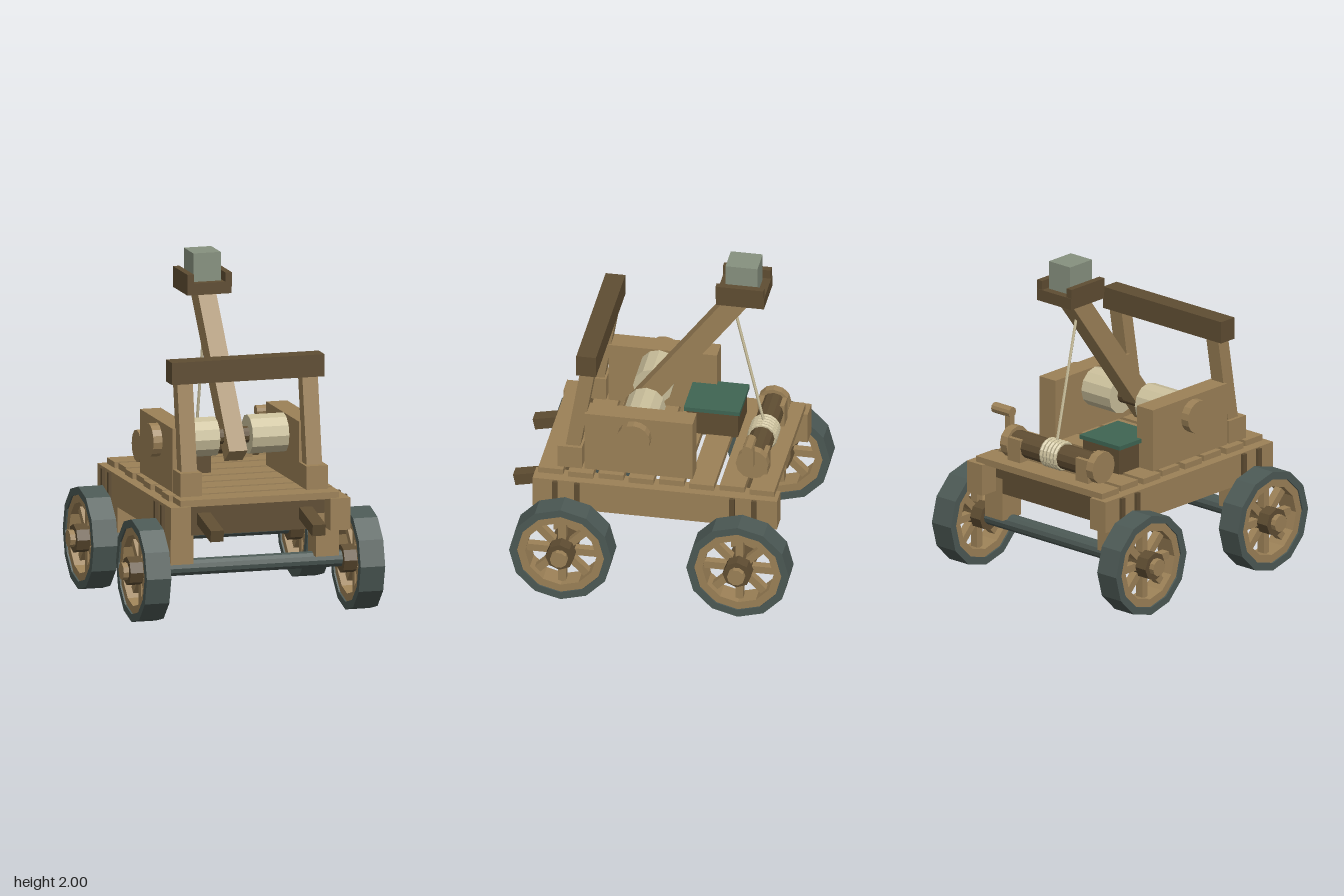
import * as THREE from 'three';

const mat = (name, color) => {
  const m = new THREE.MeshStandardMaterial({ color, flatShading: true });
  m.name = name;
  return m;
};

export function createModel() {
  const wood = mat('wood', 0x9c8157);
  const dark = mat('dark wood', 0x5f4d32);
  const iron = mat('iron', 0x4c5955);
  const rope = mat('rope', 0xcabf9b);
  const stone = mat('stone', 0x87917f);
  const cloth = mat('green lid', 0x3f6553);
  const root = new THREE.Group();
  root.name = 'siegeCatapult';

  const add = (name, geo, m, x, y, z, parent = root) => {
    const mesh = new THREE.Mesh(geo, m);
    mesh.name = name;
    mesh.position.set(x, y, z);
    parent.add(mesh);
    return mesh;
  };
  // Box given by its limits on each axis
  const box = (name, m, x0, x1, y0, y1, z0, z1, parent) =>
    add(name, new THREE.BoxGeometry(x1 - x0, y1 - y0, z1 - z0), m,
      (x0 + x1) / 2, (y0 + y1) / 2, (z0 + z1) / 2, parent);
  // Cylinder lying along x
  const rod = (name, m, x0, x1, y, z, r, sides = 12, parent) =>
    add(name, new THREE.CylinderGeometry(r, r, x1 - x0, sides).rotateZ(Math.PI / 2), m,
      (x0 + x1) / 2, y, z, parent);
  // Twelve-sided ring, centred, with its axis along x
  const ring = (outer, inner, width) => {
    const pts = r => Array.from({ length: 12 }, (_, i) =>
      new THREE.Vector2(r * Math.cos(i * Math.PI / 6), r * Math.sin(i * Math.PI / 6)));
    const shape = new THREE.Shape(pts(outer));
    shape.holes.push(new THREE.Path(pts(inner).reverse()));
    return new THREE.ExtrudeGeometry(shape, { depth: width, bevelEnabled: false })
      .translate(0, 0, -width / 2).rotateY(Math.PI / 2);
  };

  // Wheels, axles and their mounts
  for (const z of [0.5, -0.555]) {
    rod('axle', iron, -0.58, 0.58, 0.31, z, 0.05);
    box('crossBeam', dark, -0.43, 0.43, 0.51, 0.699, z - 0.08, z + 0.08);
    for (const s of [-1, 1]) {
      const wheel = new THREE.Group();
      wheel.name = 'wheel';
      wheel.position.set(s * 0.655, 0.306, z);
      root.add(wheel);
      add('tyre', ring(0.306, 0.26, 0.15), iron, 0, 0, 0, wheel);
      add('rim', ring(0.262, 0.212, 0.13), wood, 0, 0, 0, wheel);
      for (let i = 0; i < 4; i++) {
        add('spokePair', new THREE.BoxGeometry(0.05, 0.45, 0.045), wood, 0, 0, 0, wheel)
          .rotation.x = i * Math.PI / 4;
      }
      rod('hub', dark, -0.105, 0.105, 0, 0, 0.085, 8, wheel);
      rod('hubCap', wood, Math.min(0, s * 0.138), Math.max(0, s * 0.138), 0, 0, 0.052, 10, wheel);

      box('axleMount', wood, s * 0.445 - 0.07, s * 0.445 + 0.07, 0.34, 0.6, z - 0.08, z + 0.08);
      for (const d of [-0.065, 0.065]) {
        box('beamStrap', dark, s * 0.558 - 0.012, s * 0.558 + 0.012, 0.51, 0.7,
          z + d - 0.015, z + d + 0.015);
      }
    }
  }

  // Deck planks
  for (let i = 0; i < 8; i++) {
    const z = -0.73 + i * 0.18;
    const w = i % 2 ? 0.485 : 0.5;
    box('deckPlank', wood, -w, w, 0.7, 0.74, z, z + 0.148);
  }

  // Parts mirrored on both sides
  for (const s of [-1, 1]) {
    const sideBox = (name, m, a, b, ...rest) =>
      box(name, m, Math.min(s * a, s * b), Math.max(s * a, s * b), ...rest);
    const sideRod = (name, m, a, b, ...rest) =>
      rod(name, m, Math.min(s * a, s * b), Math.max(s * a, s * b), ...rest);

    sideBox('sideBeam', wood, 0.428, 0.55, 0.515, 0.705, -0.755, 0.7);
    sideBox('sidePanel', wood, 0.323, 0.45, 0.74, 1.118, -0.235, 0.41);
    sideBox('postSocket', wood, 0.32, 0.452, 0.74, 0.88, 0.425, 0.57);
    add('stopPost', new THREE.BoxGeometry(0.095, 0.62, 0.085), wood, s * 0.383, 1.11, 0.443)
      .rotation.x = -0.165;
    add('towBar', new THREE.BoxGeometry(0.08, 0.07, 0.36), dark, s * 0.312, 0.588, 0.67)
      .rotation.x = 0.21;

    // Torsion skein and pivot boss
    sideRod('ropeSkein', rope, 0.1, 0.325, 1.0, 0.107, 0.117, 12);
    sideRod('pivotBoss', wood, 0.44, 0.505, 1.0, 0.11, 0.1, 16);

    // Winch bearings
    sideBox('winchBlock', wood, 0.22, 0.32, 0.74, 0.88, -0.655, -0.495);
    sideRod('winchFlange', wood, 0.315, 0.367, 0.83, -0.572, 0.097, 12);
  }
  box('stopCrossbar', dark, -0.467, 0.467, 1.388, 1.52, 0.338, 0.455);
  rod('pivotShaft', dark, -0.15, 0.15, 1.0, 0.11, 0.05);

  // Throwing arm, leaning backwards
  const foot = new THREE.Vector3(0, 0.895, 0.208);
  const tip = new THREE.Vector3(0, 1.775, -0.453);
  const mid = foot.clone().lerp(tip, 0.5);
  add('throwingArm', new THREE.BoxGeometry(0.112, foot.distanceTo(tip), 0.124), wood,
    0, mid.y, mid.z).rotation.x = Math.atan2(tip.z - foot.z, tip.y - foot.y);

  // Cup and its load
  box('cupFloor', dark, -0.135, 0.135, 1.76, 1.83, -0.6, -0.315);
  for (const s of [-1, 1]) {
    box('cupWall', dark, s * 0.117 - 0.02, s * 0.117 + 0.02, 1.8, 1.885, -0.597, -0.312);
  }
  box('stoneBlock', stone, -0.084, 0.084, 1.83, 2.0, -0.552, -0.362);

  // Winch drum, rope coil, crank and pull rope
  rod('winchDrum', dark, -0.32, 0.32, 0.83, -0.575, 0.075);
  for (let i = -2; i <= 2; i++) {
    add('ropeCoil', new THREE.TorusGeometry(0.077, 0.013, 6, 16).rotateY(Math.PI / 2), rope,
      i * 0.027, 0.83, -0.575);
  }
  box('crankArm', wood, 0.362, 0.4, 0.83, 1.0, -0.587, -0.545);
  rod('crankHandle', wood, 0.36, 0.5, 1.0, -0.567, 0.032, 10);
  const line = new THREE.LineCurve3(
    new THREE.Vector3(0, 1.66, -0.4), new THREE.Vector3(0, 0.88, -0.58));
  add('pullRope', new THREE.TubeGeometry(line, 1, 0.009, 6), rope, 0, 0, 0);

  // Supply chest
  box('chest', dark, -0.34, -0.055, 0.735, 0.897, -0.41, -0.105);
  box('chestLid', cloth, -0.358, -0.04, 0.895, 0.92, -0.423, -0.09);

  return root;
}
